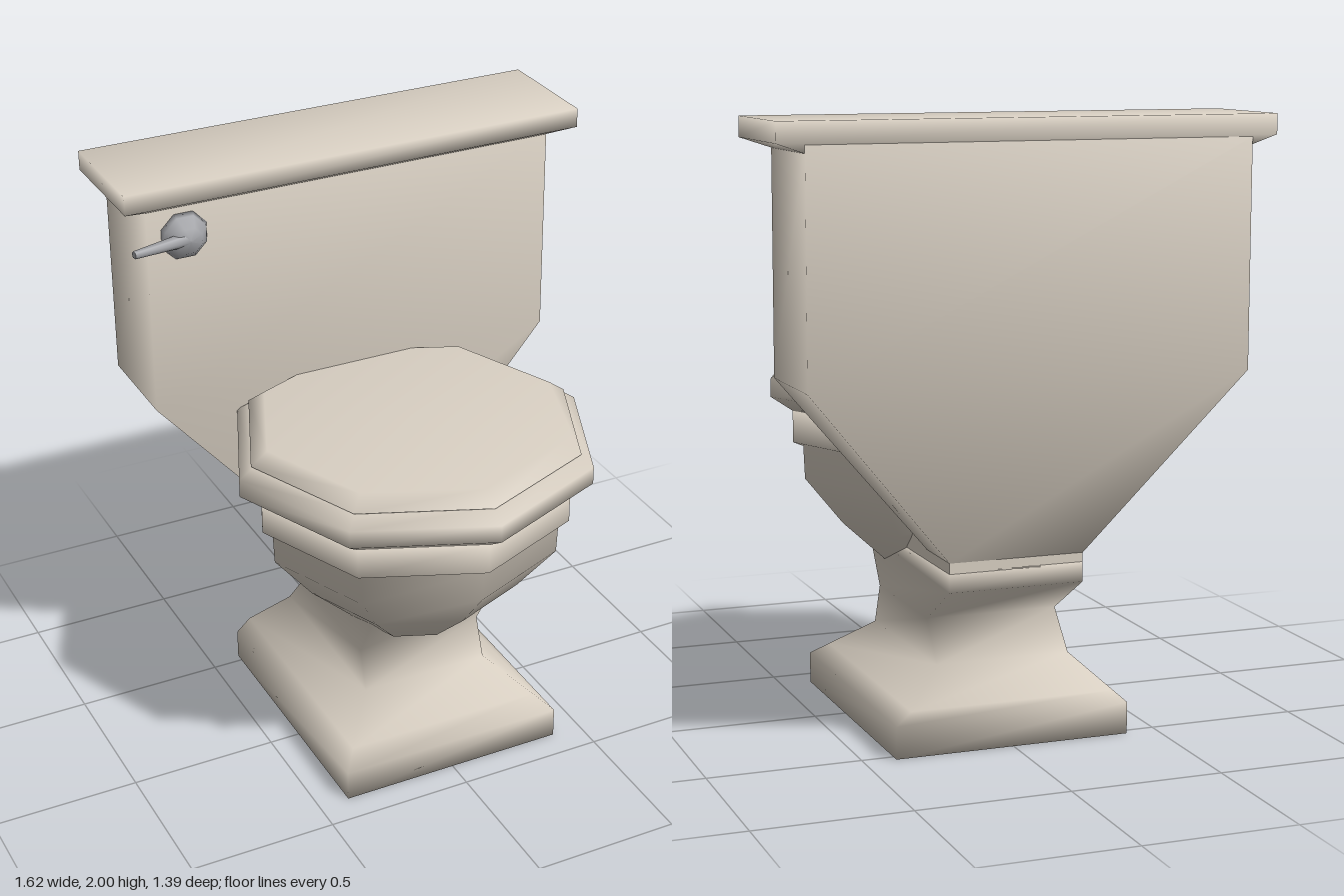
import * as THREE from 'three';

const porcelain = new THREE.MeshStandardMaterial({ color: 0xd9d0c3 });
porcelain.name = 'porcelain';
const metal = new THREE.MeshStandardMaterial({ color: 0xa3a4a8 });
metal.name = 'metal';

// Closed loft through rings of [x, y, z] points, bottom to top, smooth shaded
function loft(name, rings) {
  const n = rings[0].length;
  const pos = rings.flat(2);
  const index = [];
  for (let i = 0; i < rings.length - 1; i++) {
    for (let j = 0; j < n; j++) {
      const k = (j + 1) % n;
      const a = i * n + j, b = i * n + k;
      index.push(a, b, b + n, a, b + n, a + n);
    }
  }
  // End caps fan out from the middle of the ring
  const cap = (ring, start, up) => {
    const c = pos.length / 3;
    for (let d = 0; d < 3; d++) pos.push(ring.reduce((s, p) => s + p[d], 0) / n);
    for (let j = 0; j < n; j++) {
      const a = start + j, b = start + (j + 1) % n;
      if (up) index.push(c, a, b);
      else index.push(c, b, a);
    }
  };
  cap(rings[0], 0, false);
  cap(rings[rings.length - 1], (rings.length - 1) * n, true);
  const g = new THREE.BufferGeometry();
  g.setAttribute('position', new THREE.Float32BufferAttribute(pos, 3));
  g.setIndex(index);
  g.computeVertexNormals();
  const mesh = new THREE.Mesh(g, porcelain);
  mesh.name = name;
  return mesh;
}

// Rectangular section; the back edge may sit at another height
const rect = ([w, zf, zb, yf, yb = yf]) =>
  [[-w, yf, zf], [w, yf, zf], [w, yb, zb], [-w, yb, zb]];

// Eight-sided section with a corner at the front
const octagon = ([r, y]) => Array.from({ length: 8 }, (_, i) => {
  const a = i * Math.PI / 4;
  return [r * Math.sin(a), y, 0.085 + r * Math.cos(a)];
});

export function createModel() {
  const model = new THREE.Group();
  model.name = 'toilet';

  // Foot with pinched waist: half width, front z, back z, front y, back y
  model.add(loft('pedestal', [
    [0.395, 0.4, -0.53, 0],
    [0.395, 0.4, -0.53, 0.105],
    [0.345, 0.337, -0.53, 0.15],
    [0.225, 0.19, -0.435, 0.255, 0.265],
    [0.222, 0.145, -0.33, 0.39],
    [0.225, 0.24, -0.55, 0.55, 0.525],
    [0.225, 0.24, -0.55, 0.59],
  ].map(rect)));

  // Stepped ledge joining bowl, foot and tank
  const ledge = new THREE.Shape([
    [0.1, 0.585], [0.55, 0.585], [0.55, 0.62], [0.34, 0.62], [0.34, 0.68], [0.1, 0.68],
  ].map(([x, y]) => new THREE.Vector2(x, y)));
  const ledgeGeo = new THREE.ExtrudeGeometry(ledge, { depth: 0.45, bevelEnabled: false });
  ledgeGeo.translate(0, 0, -0.225).rotateY(Math.PI / 2);
  const ledgeMesh = new THREE.Mesh(ledgeGeo, porcelain);
  ledgeMesh.name = 'tankLedge';
  model.add(ledgeMesh);

  // Bowl, seat and lid: radius, height
  model.add(loft('bowl', [
    [0.19, 0.465], [0.37, 0.63], [0.5, 0.79], [0.505, 0.9], [0.54, 0.915], [0.54, 1.02],
  ].map(octagon)));
  model.add(loft('seat', [
    [0.54, 1.02], [0.614, 1.07], [0.614, 1.13], [0.56, 1.168],
  ].map(octagon)));
  model.add(loft('seatLid', [
    [0.55, 1.155], [0.572, 1.17], [0.515, 1.212],
  ].map(octagon)));

  // Tank and its overhanging cover
  model.add(loft('tank', [
    [0.225, -0.34, -0.55, 0.62],
    [0.722, -0.34, -0.695, 1.2],
    [0.722, -0.34, -0.695, 1.93],
  ].map(rect)));
  model.add(loft('tankCover', [
    [0.722, -0.34, -0.69, 1.905],
    [0.808, -0.285, -0.692, 1.935],
    [0.808, -0.285, -0.692, 2],
  ].map(rect)));

  // Flush handle: faceted knob and tapered lever
  const handle = new THREE.Group();
  handle.name = 'flushHandle';
  const profile = [[0, 0], [0.085, 0], [0.075, 0.02], [0.045, 0.055], [0, 0.062]];
  const knobGeo = new THREE.LatheGeometry(profile.map(([x, y]) => new THREE.Vector2(x, y)), 8);
  knobGeo.rotateY(Math.PI / 8).rotateX(Math.PI / 2);
  const knob = new THREE.Mesh(knobGeo, metal);
  knob.name = 'knob';
  knob.position.set(-0.595, 1.805, -0.342);
  const lever = new THREE.Mesh(new THREE.CylinderGeometry(0.013, 0.024, 0.2, 6), metal);
  lever.name = 'lever';
  const from = new THREE.Vector3(-0.6, 1.808, -0.302);
  const to = new THREE.Vector3(-0.79, 1.808, -0.265);
  lever.position.copy(from).lerp(to, 0.5);
  lever.quaternion.setFromUnitVectors(new THREE.Vector3(0, 1, 0), to.sub(from).normalize());
  handle.add(knob, lever);
  model.add(handle);

  return model;
}
